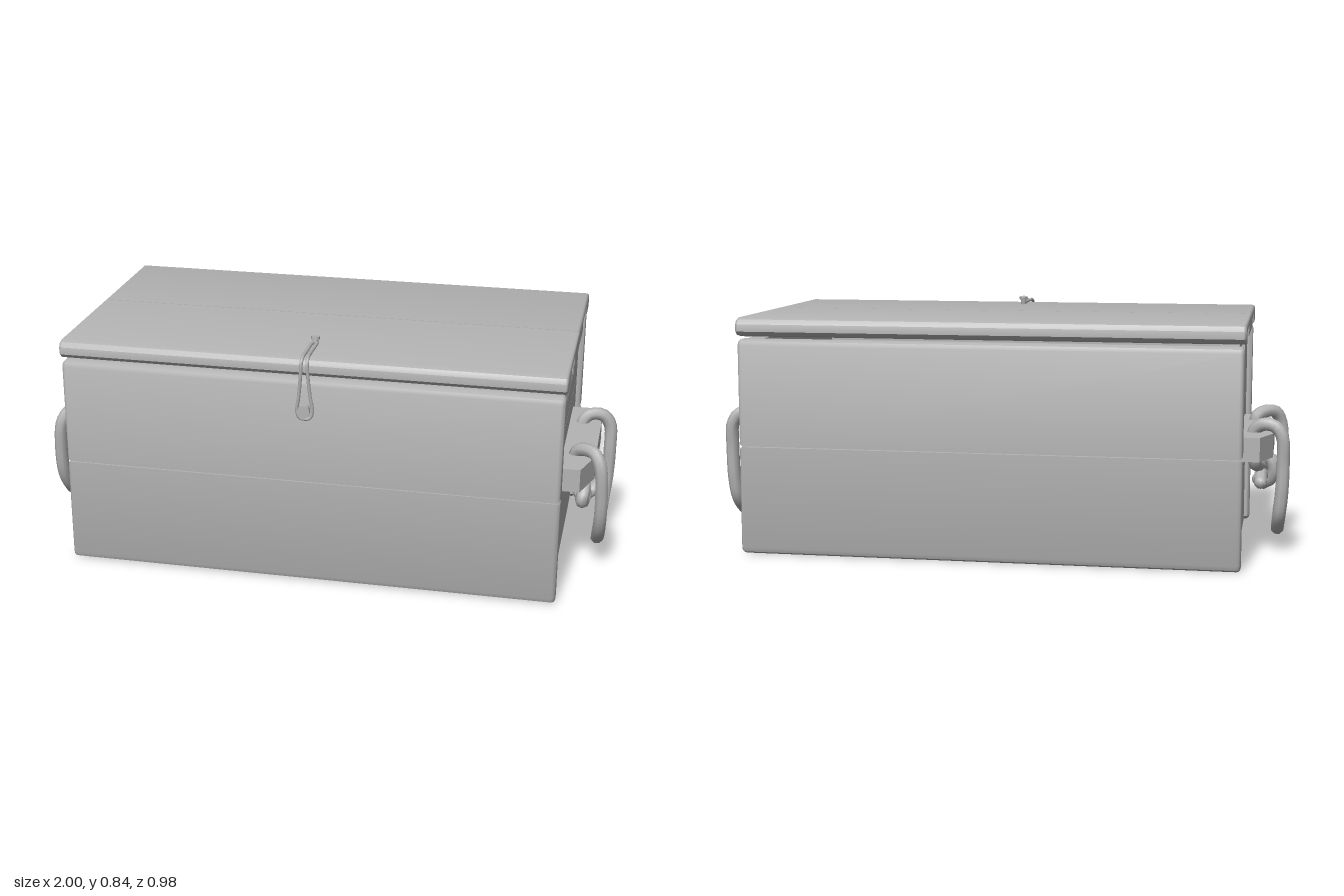
import * as THREE from 'three';
import { toCreasedNormals } from 'three/addons/utils/BufferGeometryUtils.js';

const grey = new THREE.MeshStandardMaterial({ color: 0xb4b4b4 });
grey.name = 'plain grey';

function part(parent, name, geometry) {
  const mesh = new THREE.Mesh(geometry, grey);
  mesh.name = name;
  parent.add(mesh);
  return mesh;
}

const outline = (pts) => new THREE.Shape(pts.map(([a, b]) => new THREE.Vector2(a, b)));

// Extrudes a (z, y) outline along x, centred on x = cx, with softened ends
function alongX(pts, length, cx = 0, bevel = 0) {
  const g = new THREE.ExtrudeGeometry(outline(pts), {
    depth: length - 2 * bevel, bevelEnabled: bevel > 0, bevelThickness: bevel,
    bevelSize: bevel, bevelOffset: -bevel, bevelSegments: 3,
  });
  g.translate(0, 0, bevel - length / 2);
  g.rotateY(-Math.PI / 2);
  g.translate(cx, 0, 0);
  return toCreasedNormals(g, 0.6);
}

function box(x0, x1, y0, y1, z0, z1) {
  const g = new THREE.BoxGeometry(Math.abs(x1 - x0), y1 - y0, z1 - z0);
  return g.translate((x0 + x1) / 2, (y0 + y1) / 2, (z0 + z1) / 2);
}

function tube(pts, radius, steps, sides, closed = false) {
  const curve = new THREE.CatmullRomCurve3(pts.map((p) => new THREE.Vector3(...p)), closed, 'centripetal');
  return new THREE.TubeGeometry(curve, steps, radius, sides, closed);
}

// Horizontal side boards: outer face at zo, inner face at zi
function sideBoards(group, name, zo, zi) {
  const d = Math.sign(zi - zo);
  const a = zo + d * 0.006, b = zo + d * 0.02, c = zi - d * 0.012;
  part(group, name + 'LowerBoard', alongX([
    [zi, 0.015], [c, 0.003], [b, 0], [a, 0.007], [zo, 0.022], [zo, 0.371], [zi, 0.371],
  ], 1.7, 0, 0.014));
  part(group, name + 'UpperBoard', alongX([
    [zi, 0.374], [zo, 0.374], [zo, 0.718], [a, 0.732], [b, 0.739], [c, 0.739], [zi, 0.727],
  ], 1.7, 0, 0.014));
}

// Lid half, notched underneath for the end tabs
function lidBoard(group, name, zo, notchOut, notchIn, zSeam) {
  const d = Math.sign(zSeam - zo);
  part(group, name, alongX([
    [zo, 0.765], [zo + d * 0.012, 0.752], [zo + d * 0.04, 0.746], [notchOut, 0.746], [notchOut, 0.78],
    [notchIn, 0.78], [notchIn, 0.747], [zSeam, 0.747], [zSeam, 0.812],
    [zo + d * 0.03, 0.812], [zo + d * 0.01, 0.806], [zo, 0.79],
  ], 1.71, 0, 0.01));
}

function endPanel(s) {
  const g = new THREE.Group();
  g.name = s > 0 ? 'leftEnd' : 'rightEnd';
  const x0 = s * 0.77, x1 = s * 0.83;
  part(g, 'endLowerBoard', box(x0, x1, 0.005, 0.249, -0.43, 0.39));
  part(g, 'endMiddleBoard', box(x0, x1, 0.251, 0.494, -0.43, 0.39));
  // Top board with two tabs and a gap between them
  part(g, 'endUpperBoard', alongX([
    [0.39, 0.496], [0.39, 0.738], [0.345, 0.738], [0.335, 0.776], [0.16, 0.776], [0.16, 0.58],
    [-0.20, 0.58], [-0.20, 0.776], [-0.375, 0.776], [-0.385, 0.738], [-0.43, 0.738], [-0.43, 0.496],
  ], 0.06, s * 0.8));
  // Sloping recess filling the gap
  const slope = new THREE.ExtrudeGeometry(outline([
    [s * 0.77, 0.58], [s * 0.83, 0.58], [s * 0.795, 0.746], [s * 0.77, 0.746],
  ]), { depth: 0.36, bevelEnabled: false });
  part(g, 'fingerRecess', slope.translate(0, 0, -0.2));

  // Cleat with tapered ends
  const cleat = new THREE.ExtrudeGeometry(outline([
    [s * 0.82, -0.31], [s * 0.90, -0.31], [s * 0.942, -0.2],
    [s * 0.942, 0.14], [s * 0.90, 0.27], [s * 0.82, 0.27],
  ]), { depth: 0.082, bevelEnabled: false });
  part(g, 'handleCleat', cleat.rotateX(Math.PI / 2).translate(0, 0.422, 0));

  // Rope: knot tail, up through the cleat, hanging loop, back to the knot
  const path = [
    [0.89, 0.225, 0.02], [0.925, 0.225, -0.005], [0.945, 0.27, -0.025], [0.93, 0.31, -0.025],
    [0.89, 0.30, -0.005], [0.885, 0.295, 0.06], [0.88, 0.318, 0.14],
    [0.875, 0.38, 0.135], [0.875, 0.43, 0.13], [0.90, 0.448, 0.148], [0.94, 0.447, 0.178],
    [0.962, 0.41, 0.197], [0.972, 0.31, 0.198], [0.972, 0.21, 0.185], [0.968, 0.145, 0.15],
    [0.962, 0.095, 0.09], [0.96, 0.073, 0.02], [0.96, 0.071, -0.07], [0.962, 0.092, -0.13],
    [0.967, 0.14, -0.175], [0.974, 0.21, -0.188], [0.977, 0.32, -0.19], [0.972, 0.41, -0.195],
    [0.945, 0.446, -0.19], [0.90, 0.448, -0.18], [0.875, 0.42, -0.17], [0.875, 0.36, -0.165],
    [0.88, 0.315, -0.155], [0.885, 0.295, -0.09], [0.90, 0.275, 0], [0.905, 0.255, 0.06],
    [0.90, 0.225, 0.078], [0.905, 0.207, 0.04], [0.91, 0.235, 0], [0.90, 0.257, -0.045],
    [0.90, 0.235, -0.10],
  ].map(([x, y, z]) => [s * x, y, z]);
  part(g, 'ropeHandle', tube(path, 0.023, 130, 8));
  for (const p of [path[0], path[path.length - 1]]) {
    part(g, 'ropeEnd', new THREE.SphereGeometry(0.023, 8, 6)).position.set(...p);
  }
  return g;
}

// Wire loop hooked over a peg on the lid and a peg on the front
function latch() {
  const g = new THREE.Group();
  g.name = 'latch';
  const half = [
    [0.007, 0.822, 0.315], [0.008, 0.821, 0.40], [0.009, 0.819, 0.452], [0.01, 0.806, 0.468],
    [0.012, 0.765, 0.471], [0.019, 0.69, 0.469], [0.026, 0.635, 0.467], [0.018, 0.613, 0.467],
  ];
  const mirrored = half.slice().reverse().map(([x, y, z]) => [-x, y, z]);
  part(g, 'wireLoop', tube([...half, [0, 0.608, 0.467], ...mirrored, [0, 0.822, 0.3]], 0.006, 100, 6, true));
  function peg(name, y, z, tilt, r) {
    const p = new THREE.Group();
    p.name = name;
    part(p, 'pegStem', new THREE.CylinderGeometry(r, r, 0.045, 8)).position.y = 0.012;
    part(p, 'pegHead', new THREE.CylinderGeometry(r * 1.5, r * 1.5, 0.01, 8)).position.y = 0.034;
    p.position.set(0, y, z);
    p.rotation.x = tilt;
    g.add(p);
  }
  peg('lidPeg', 0.802, 0.306, -0.15, 0.01);
  peg('frontPeg', 0.64, 0.452, Math.PI / 2, 0.015);
  return g;
}

export function createModel() {
  const model = new THREE.Group();
  model.name = 'woodenChest';
  sideBoards(model, 'front', 0.45, 0.392);
  sideBoards(model, 'back', -0.487, -0.43);
  part(model, 'floor', box(-0.83, 0.83, 0.008, 0.05, -0.43, 0.392));
  lidBoard(model, 'lidFront', 0.452, 0.347, 0.157, -0.018);
  lidBoard(model, 'lidBack', -0.489, -0.388, -0.196, -0.021);
  model.add(endPanel(1), endPanel(-1), latch());
  return model;
}
